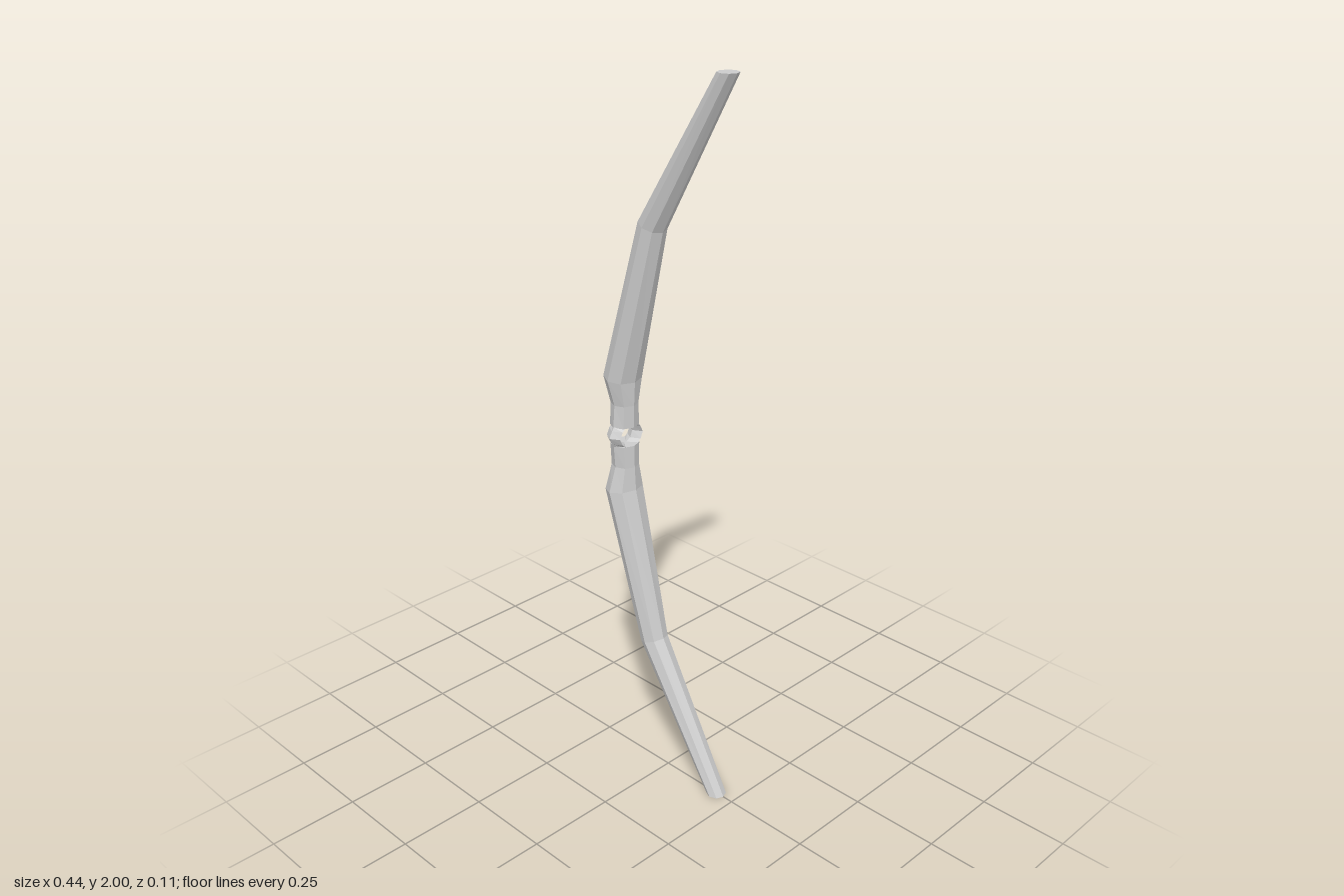
import * as THREE from 'three';

const material = new THREE.MeshStandardMaterial({ color: 0xcccccc, flatShading: true });

// Closed faceted loft through elliptical sections, listed from low to high.
// A section is [x, y, z, radiusX, radiusZ, slope]; slope lowers or raises the +x side.
function loft(name, sections, sides) {
  const points = [];
  const ring = ([x, y, z, rx, rz, slope = 0]) => Array.from({ length: sides }, (_, i) => {
    const a = (i / sides) * Math.PI * 2;
    const dx = Math.cos(a) * rx;
    return [x + dx, y + slope * dx, z + Math.sin(a) * rz];
  });
  const rings = sections.map(ring);
  const tri = (...corners) => corners.forEach((p) => points.push(...p));
  const first = rings[0];
  const last = rings[rings.length - 1];
  const bottom = sections[0].slice(0, 3);
  const top = sections[sections.length - 1].slice(0, 3);
  for (let i = 0; i < sides; i++) {
    const j = (i + 1) % sides;
    for (let k = 0; k < rings.length - 1; k++) {
      const lo = rings[k];
      const hi = rings[k + 1];
      tri(lo[i], hi[i], hi[j]);
      tri(lo[i], hi[j], lo[j]);
    }
    tri(bottom, first[i], first[j]);
    tri(top, last[j], last[i]);
  }
  const geometry = new THREE.BufferGeometry();
  geometry.setAttribute('position', new THREE.Float32BufferAttribute(points, 3));
  geometry.computeVertexNormals();
  const mesh = new THREE.Mesh(geometry, material);
  mesh.name = name;
  return mesh;
}

export function createModel() {
  const bow = new THREE.Group();
  bow.name = 'bow';

  // Upper limb: waist of the grip, swollen shoulder, bend and flat tip
  const limb = [
    [-0.166, 1.027, 0, 0.037, 0.041],
    [-0.165, 1.09, 0, 0.037, 0.037],
    [-0.171, 1.163, 0, 0.047, 0.055, -0.12],
    [-0.055, 1.597, 0, 0.036, 0.038, -0.36],
    [0.191, 2, 0, 0.0275, 0.0275],
  ];
  bow.add(loft('upperLimb', limb, 8));

  // Lower limb mirrors the upper one about mid-height
  const mirrored = limb.map(([x, y, z, rx, rz, s = 0]) => [x, 2 - y, z, rx, rz, -s]).reverse();
  bow.add(loft('lowerLimb', mirrored, 8));

  // Two pointed cheeks that leave the arrow hole open between them
  const profile = [[-0.029, 0, 0.041], [-0.019, 0.019, 0.047], [0, 0.027, 0.057],
    [0.019, 0.019, 0.047], [0.029, 0, 0.041]];
  for (const [name, side] of [['frontGripCheek', 1], ['backGripCheek', -1]]) {
    const sections = profile.map(([dy, inner, outer]) =>
      [-0.165, 1 + dy, side * (inner + outer) / 2, 0.026, (outer - inner) / 2]);
    bow.add(loft(name, sections, 4));
  }
  return bow;
}
